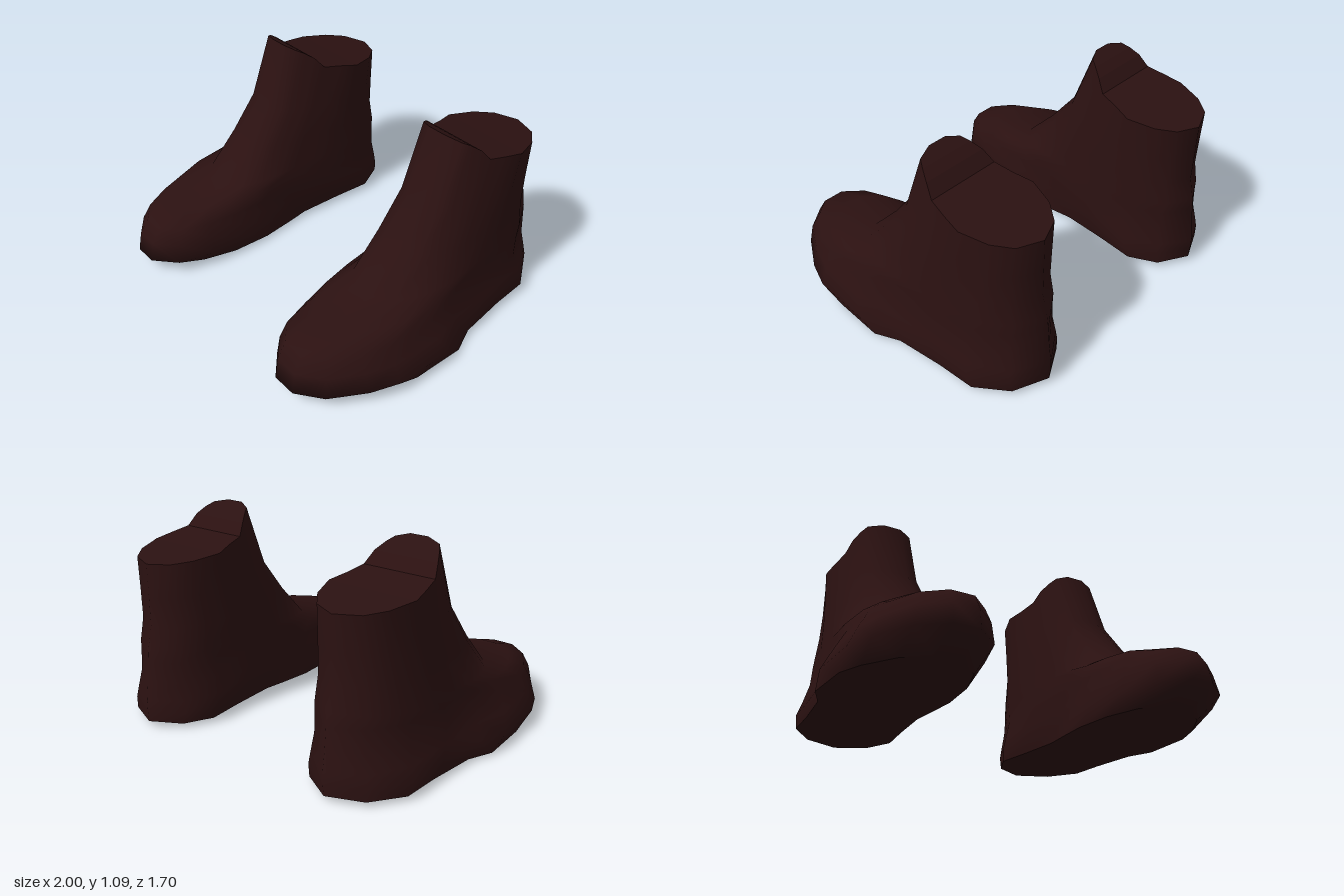
import * as THREE from 'three';

// Foot outline and ankle opening as [x, z], from the heel round the outer side to the toe and back
const FOOT = [
  [0.59, -0.845], [0.78, -0.76], [0.9, -0.58], [0.91, -0.35], [0.94, -0.05], [1.0, 0.1], [0.985, 0.42],
  [0.93, 0.57], [0.82, 0.75], [0.69, 0.845], [0.56, 0.845], [0.44, 0.74], [0.38, 0.54], [0.36, 0.3],
  [0.375, 0.1], [0.39, -0.05], [0.37, -0.33], [0.345, -0.57], [0.42, -0.74],
];
const OPENING = [
  [0.59, -0.78], [0.72, -0.73], [0.79, -0.64], [0.835, -0.5], [0.82, -0.4], [0.8, -0.3], [0.78, -0.25],
  [0.755, -0.2], [0.73, -0.16], [0.65, -0.13], [0.55, -0.13], [0.485, -0.16], [0.46, -0.2], [0.43, -0.25],
  [0.405, -0.3], [0.385, -0.4], [0.355, -0.5], [0.4, -0.64], [0.47, -0.73],
];
const N = FOOT.length;

// Levels from sole to rim: front z, front y, back z, back y, blend from foot to opening, width scale
const LEVELS = [
  [0.67, 0.0, -0.84, 0.03, 0, 0.95],
  [0.85, 0.08, -0.845, 0.09, 0, 1],
  [0.83, 0.19, -0.845, 0.15, 0.2, 1],
  [0.78, 0.27, -0.83, 0.25, 0.42, 1],
  [0.6, 0.33, -0.82, 0.36, 0.52, 1],
  [0.33, 0.36, -0.81, 0.43, 0.65, 1],
  [0.15, 0.55, -0.78, 0.55, 0.8, 1],
  [0, 0.74, -0.78, 0.7, 0.93, 1],
  [-0.13, 1.085, -0.78, 0.88, 1, 1],
];

// Height of the rim along z: low at the heel, rising to a tongue in front
const RIM = [[-0.78, 0.88], [-0.5, 0.915], [-0.29, 0.955], [-0.24, 1.03], [-0.13, 1.09]];
function rimHeight(z) {
  for (let i = 1; i < RIM.length; i++) {
    const [z0, y0] = RIM[i - 1], [z1, y1] = RIM[i];
    if (z <= z1) return y0 + (y1 - y0) * (z - z0) / (z1 - z0);
  }
  return RIM[RIM.length - 1][1];
}

const along = ([, z], z0, z1) => (z - z0) / (z1 - z0);

function ring([fz, fy, bz, by, k, s], isRim) {
  return FOOT.map((p, i) => {
    const q = OPENING[i];
    const t = THREE.MathUtils.lerp(along(p, -0.845, 0.845), along(q, -0.78, -0.13), k);
    const x = 0.64 + (THREE.MathUtils.lerp(p[0], q[0], k) - 0.64) * s;
    const z = bz + t * (fz - bz);
    return [x, isRim ? rimHeight(z) : by + t * (fy - by), z];
  });
}

// side -1 mirrors the points and turns the triangles round
function makeGeometry(points, tris, side, flip) {
  const g = new THREE.BufferGeometry();
  const pos = points.flatMap(([x, y, z]) => [x * side, y, z]);
  g.setAttribute('position', new THREE.Float32BufferAttribute(pos, 3));
  const turn = (side < 0) !== flip;
  g.setIndex(tris.flatMap(([a, b, c]) => (turn ? [a, c, b] : [a, b, c])));
  return g;
}

function wallGeometry(rings, side) {
  const tris = [];
  for (let r = 0; r < rings.length - 1; r++) {
    for (let i = 0; i < N; i++) {
      const j = (i + 1) % N;
      const a = r * N + i, b = r * N + j, c = a + N, d = b + N;
      tris.push([a, c, b], [b, c, d]);
    }
  }
  const g = makeGeometry(rings.flat(), tris, side, false);
  g.computeVertexNormals();
  return g;
}

// Fills a ring with strips running across the foot
function capGeometry(points, side, down) {
  const tris = [[0, N - 1, 1]];
  for (let i = 1; i < (N - 1) / 2; i++) {
    tris.push([i, N - i, N - i - 1], [i, N - i - 1, i + 1]);
  }
  const g = makeGeometry(points, tris, side, down).toNonIndexed();
  g.computeVertexNormals();
  return g;
}

export function createModel() {
  const model = new THREE.Group();
  model.name = 'pairOfBoots';
  const leather = new THREE.MeshStandardMaterial({ color: 0x2b1111 });
  leather.name = 'darkBrownLeather';

  const rings = LEVELS.map((level, i) => ring(level, i === LEVELS.length - 1));
  for (const side of [1, -1]) {
    const boot = new THREE.Group();
    boot.name = side > 0 ? 'leftBoot' : 'rightBoot';
    const parts = {
      upper: wallGeometry(rings, side),
      sole: capGeometry(rings[0], side, true),
      openingFill: capGeometry(rings[rings.length - 1], side, false),
    };
    for (const [name, geometry] of Object.entries(parts)) {
      const mesh = new THREE.Mesh(geometry, leather);
      mesh.name = name;
      boot.add(mesh);
    }
    model.add(boot);
  }
  return model;
}
